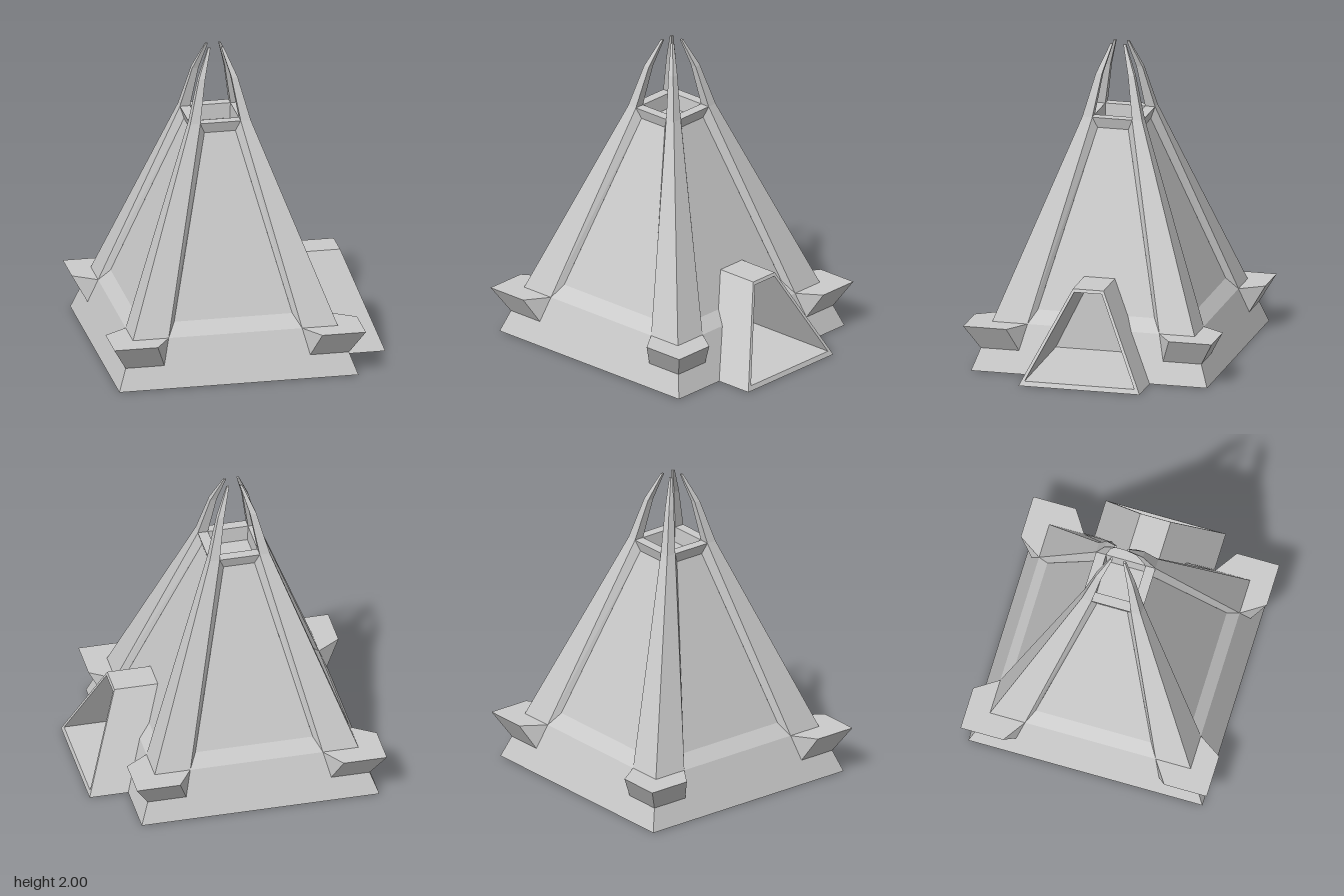
import * as THREE from 'three';

const material = new THREE.MeshStandardMaterial({ color: 0xcccccc, flatShading: true });

// Build a faceted mesh from planar polygons (corners counter-clockwise from outside)
function facetMesh(name, faces) {
  const pos = [];
  for (const f of faces)
    for (let i = 1; i < f.length - 1; i++) pos.push(...f[0], ...f[i], ...f[i + 1]);
  const g = new THREE.BufferGeometry();
  g.setAttribute('position', new THREE.Float32BufferAttribute(pos, 3));
  g.computeVertexNormals();
  const mesh = new THREE.Mesh(g, material);
  mesh.name = name;
  return mesh;
}

// Skin a series of loops and cap the last one
function loft(loops) {
  const faces = [];
  for (let k = 0; k < loops.length - 1; k++) {
    const a = loops[k], b = loops[k + 1], n = a.length;
    for (let i = 0; i < n; i++) {
      const j = (i + 1) % n;
      faces.push([a[i], a[j], b[j], b[i]]);
    }
  }
  faces.push(loops[loops.length - 1]);
  return faces;
}

// Each face together with its mirror image across x = 0
const mirrored = (faces) =>
  faces.flatMap((f) => [f, f.map(([x, y, z]) => [-x, y, z]).reverse()]);

const square = (r, y) => [[-r, y, r], [r, y, r], [r, y, -r], [-r, y, -r]];

// Half a wall between two rows [y, depth, half width], leaving an optional doorway
const DOOR_TOP = 0.58;
function wallRows(rows, door) {
  const faces = [];
  for (let i = 0; i < rows.length - 1; i++) {
    const [y0, d0, h0] = rows[i], [y1, d1, h1] = rows[i + 1];
    const gap = (y) => (door && y1 <= DOOR_TOP ? 0.38 - 0.49 * y : 0);
    faces.push([[gap(y0), y0, d0], [h0, y0, d0], [h1, y1, d1], [gap(y1), y1, d1]]);
  }
  return mirrored(faces);
}

function createSide(door) {
  const side = new THREE.Group();
  side.name = 'towerSide';
  side.add(facetMesh('baseWall', wallRows([[0, 0.77, 0.77], [0.3, 0.66, 0.66]], door)));

  // Sunken panel with bevels at the bottom and top
  side.add(facetMesh('sunkenPanel', wallRows([
    [0.3, 0.66, 0.43], [0.38, 0.59, 0.38], [DOOR_TOP, 0.5145, 0.329],
    [1.48, 0.175, 0.1], [1.55, 0.195, 0.13],
  ], door)));

  // Raised corner ridges and the bevel down to the panel
  side.add(facetMesh('cornerRidges', mirrored([
    [[0.43, 0.3, 0.66], [0.66, 0.3, 0.66], [0.195, 1.55, 0.195], [0.13, 1.55, 0.195]],
    [[0.38, 0.38, 0.59], [0.43, 0.3, 0.66], [0.13, 1.55, 0.195], [0.1, 1.48, 0.175]],
  ])));

  // Flared corner ledges: sloping front, cheek and flat top
  side.add(facetMesh('cornerLedges', mirrored([
    [[0.47, 0.14, 0.72], [0.72, 0.14, 0.72], [0.81, 0.3, 0.81], [0.53, 0.3, 0.81]],
    [[0.47, 0.14, 0.72], [0.53, 0.3, 0.81], [0.43, 0.3, 0.66]],
    [[0.43, 0.3, 0.66], [0.53, 0.3, 0.81], [0.81, 0.3, 0.81], [0.66, 0.3, 0.66]],
  ])));

  // Curved prong continuing the corner ridge
  const prong = [[1.55, 0.195, 0.13], [1.82, 0.125, 0.085], [2, 0.05, 0.035]];
  side.add(facetMesh('prong', loft(prong.map(([y, o, i]) =>
    [[i, y, o], [o, y, o], [o, y, i], [i, y, i]]))));
  return side;
}

export function createModel() {
  const model = new THREE.Group();
  model.name = 'tower';

  const body = new THREE.Group();
  body.name = 'towerBody';
  body.position.x = -0.11;
  for (let k = 0; k < 4; k++) {
    const side = createSide(k === 1);
    side.rotation.y = k * Math.PI / 2;
    body.add(side);
  }
  body.add(facetMesh('topRimAndPit', loft([
    square(0.195, 1.55), square(0.13, 1.55), square(0.125, 1.45)])));
  body.add(facetMesh('underside', [square(0.77, 0).reverse()]));
  model.add(body);

  // Entrance hood: trapezoid shell with a sloping front and a deep passage
  const trapezoid = (bottom, y0, top, y1, xAt) =>
    [[bottom, y0], [-bottom, y0], [-top, y1], [top, y1]].map(([z, y]) => [xAt(y), y, z]);
  const outer = (xAt) => trapezoid(0.395, 0, 0.1, 0.595, xAt);
  const inner = (xAt) => trapezoid(0.358, 0.03, 0.09, 0.575, xAt);
  const front = (y) => 0.91 - 0.387 * y, back = () => 0.12;
  model.add(facetMesh('entranceHood', loft([outer(back), outer(front), inner(front), inner(back)])));

  return model;
}
